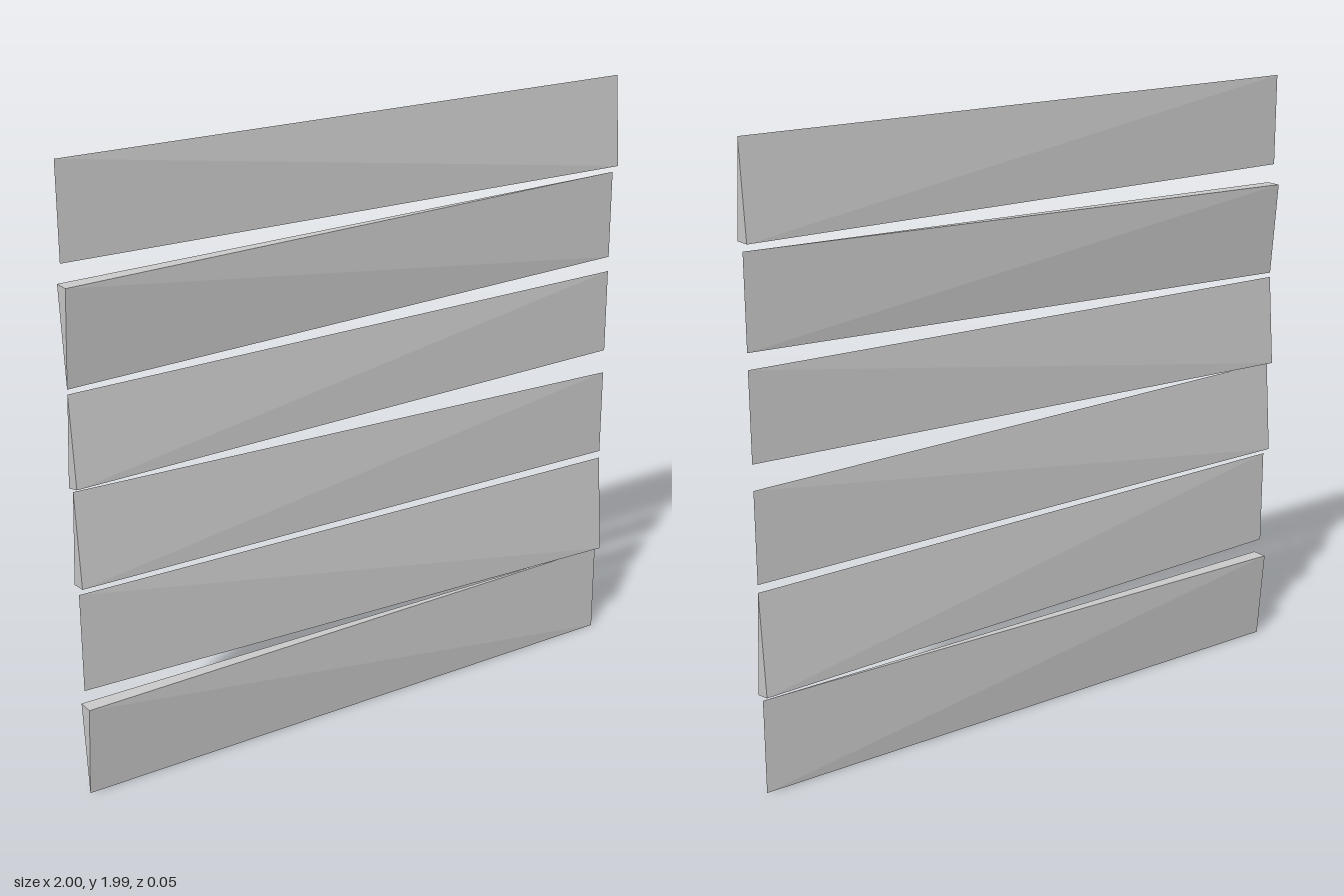
import * as THREE from 'three';

const HALF_THICK = 0.026;

// Each slat: [low y, high y] at the -x end and at the +x end, which end and
// edge is thick, and the height of the thick edge's front and back corners.
const SLATS = [
  { left: [1.69, 1.985], right: [1.69, 1.985], end: 1, edge: -1, thick: [1.69, 1.69] },
  { left: [1.32, 1.625], right: [1.375, 1.665], end: -1, edge: 1, thick: [1.625, 1.625] },
  { left: [1.015, 1.305], right: [1.045, 1.325], end: -1, edge: -1, thick: [1.02, 1.008] },
  { left: [0.70, 1.005], right: [0.675, 0.965], end: -1, edge: -1, thick: [0.703, 0.698] },
  { left: [0.355, 0.675], right: [0.315, 0.65], end: 1, edge: -1, thick: [0.314, 0.323] },
  { left: [0, 0.30], right: [0, 0.305], end: -1, edge: 1, thick: [0.30, 0.30] },
];

// Twisted wedge: a triangular section at one end thinning to a sharp line at the other
function slatGeometry({ left, right, end, edge, thick }) {
  const near = end > 0 ? right : left;
  const far = end > 0 ? left : right;
  const same = edge > 0 ? 1 : 0; // index of the thick edge in [low, high]
  const front = [end, thick[0], HALF_THICK];
  const back = [end, thick[1], -HALF_THICK];
  const tip = [end, near[1 - same], 0];
  const farSame = [-end, far[same], 0];
  const farOther = [-end, far[1 - same], 0];
  const faces = [
    [front, back, tip], // end triangle
    [front, tip, farOther], [front, farOther, farSame], // front
    [back, farOther, tip], [back, farSame, farOther], // back
    [front, farSame, back], // thick edge
  ];
  // Mirrored slats need their corner order reversed
  if (end * edge > 0) faces.forEach((f) => f.reverse());
  const geometry = new THREE.BufferGeometry();
  geometry.setAttribute('position', new THREE.Float32BufferAttribute(faces.flat(2), 3));
  geometry.computeVertexNormals();
  return geometry;
}

export function createModel() {
  const group = new THREE.Group();
  group.name = 'slatPanel';
  const material = new THREE.MeshStandardMaterial({ color: 0xcccccc, flatShading: true });
  SLATS.forEach((slat, i) => {
    const mesh = new THREE.Mesh(slatGeometry(slat), material);
    mesh.name = `slat${i + 1}`;
    group.add(mesh);
  });
  return group;
}
